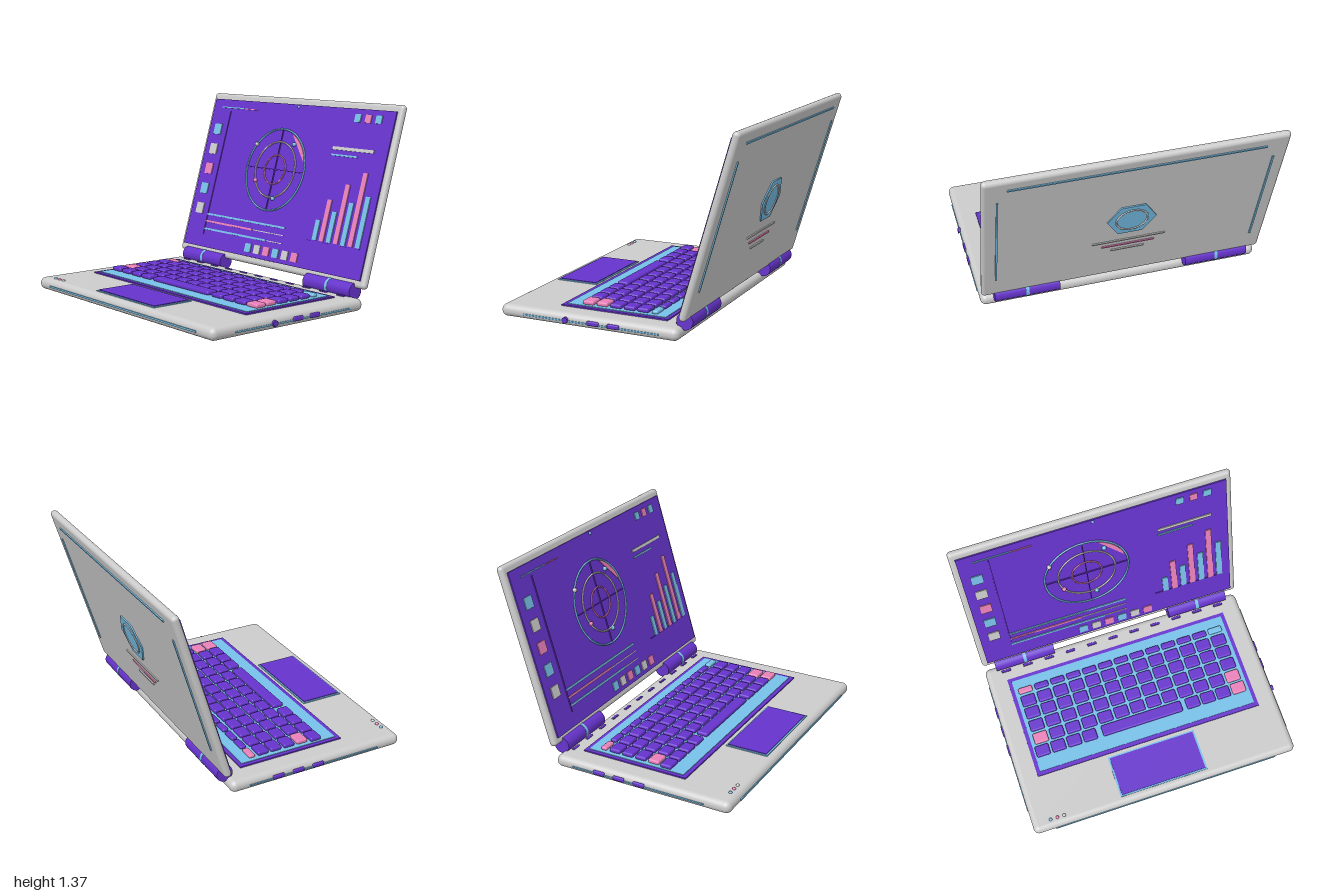
import * as THREE from 'three';
import { RoundedBoxGeometry } from 'three/addons/geometries/RoundedBoxGeometry.js';

const mat = (color) => new THREE.MeshStandardMaterial({ color });
const GREY = mat(0xcccccc);
const PURPLE = mat(0x6633cc);
const BLUE = mat(0x77c0e8);
const PINK = mat(0xe880b8);
const WHITE = mat(0xeeeeee);

function add(parent, name, geometry, material, x, y, z) {
  const mesh = new THREE.Mesh(geometry, material);
  mesh.name = name;
  mesh.position.set(x, y, z);
  parent.add(mesh);
  return mesh;
}
const box = (p, name, m, w, h, d, x, y, z) => add(p, name, new THREE.BoxGeometry(w, h, d), m, x, y, z);
const rounded = (p, name, m, w, h, d, r, x, y, z, seg = 2) =>
  add(p, name, new RoundedBoxGeometry(w, h, d, seg, r), m, x, y, z);
const ball = (p, name, m, r, x, y, z) => add(p, name, new THREE.SphereGeometry(r, 16, 10), m, x, y, z);
const group = (parent, name) => {
  const g = new THREE.Group();
  g.name = name;
  parent.add(g);
  return g;
};

function buildBase(base) {
  rounded(base, 'baseShell', GREY, 1.97, 0.084, 1.29, 0.04, 0, 0.07, 0.195, 5);
  box(base, 'bottomPlate', BLUE, 1.68, 0.016, 1.08, 0, 0.024, 0.19);
  box(base, 'frontStrip', BLUE, 1.66, 0.012, 0.012, 0, 0.066, 0.84);

  // Rubber feet and side trim
  for (const s of [-1, 1]) {
    for (const z of [-0.3, 0.69]) {
      add(base, 'foot', new THREE.CylinderGeometry(0.047, 0.042, 0.022, 20), PURPLE, s * 0.785, 0.011, z);
    }
    box(base, 'sideStrip', BLUE, 0.01, 0.01, 0.98, s * 0.985, 0.064, 0.17);
  }

  // Ports
  for (const z of [0, 0.145]) rounded(base, 'rightPort', PURPLE, 0.03, 0.03, 0.085, 0.008, 0.98, 0.07, z);
  for (const z of [-0.11, 0.04, 0.19]) rounded(base, 'leftPort', PURPLE, 0.03, 0.03, 0.085, 0.008, -0.98, 0.07, z);
  const jack = add(base, 'audioJack', new THREE.CylinderGeometry(0.02, 0.02, 0.04, 16), PURPLE, 0.98, 0.07, 0.345);
  jack.rotation.z = Math.PI / 2;

  // Vents in front of the hinge
  for (let i = 0; i < 11; i++) {
    rounded(base, 'vent', PURPLE, 0.07, 0.014, 0.02, 0.005, -0.83 + i * 0.166, 0.112, -0.39, 1);
  }

  // Trackpad and status lights
  box(base, 'trackpadFrame', BLUE, 0.655, 0.012, 0.305, 0, 0.112, 0.633);
  box(base, 'trackpad', PURPLE, 0.63, 0.012, 0.283, 0, 0.117, 0.633);
  [BLUE, PINK, WHITE].forEach((m, i) => ball(base, 'statusLight', m, 0.012, -0.85 + i * 0.05, 0.112, 0.78));
}

function buildKeyboard(keyboard) {
  box(keyboard, 'keyboardFrame', PURPLE, 1.69, 0.014, 0.77, 0, 0.114, 0.07);
  box(keyboard, 'keyboardDeck', BLUE, 1.636, 0.014, 0.715, 0, 0.118, 0.068);
  const key = (m, w, d, x, z, h = 0.03) =>
    rounded(keyboard, 'key', m, w, h, d, 0.012, x, 0.122 + h / 2, z);

  // Five regular rows
  [-0.195, -0.11, -0.013, 0.087, 0.187].forEach((z, row) => {
    for (let c = 0; c < 13; c++) {
      let m = PURPLE;
      if ((row === 0 && c === 0) || (row === 4 && c % 12 === 0)) m = PINK;
      if (row === 0 && c === 12) m = BLUE;
      key(m, 0.105, row ? 0.082 : 0.046, -0.74 + c * 0.123, z, row ? 0.03 : 0.025);
    }
  });

  // Bottom row with space bar
  for (let i = 0; i < 4; i++) {
    key(PURPLE, 0.103, 0.082, -0.755 + i * 0.119, 0.285);
    key(i === 3 ? PINK : PURPLE, 0.103, 0.082, 0.39 + i * 0.118, 0.285);
  }
  key(PURPLE, 0.61, 0.082, 0, 0.285).name = 'spaceBar';
}

function buildHinges(hinges) {
  for (const s of [-1, 1]) {
    const barrel = add(hinges, 'hingeBarrel', new THREE.CylinderGeometry(0.057, 0.057, 0.45, 28), PURPLE, s * 0.672, 0.143, -0.457);
    const band = add(hinges, 'hingeBand', new THREE.CylinderGeometry(0.059, 0.059, 0.022, 28), BLUE, s * 0.672, 0.143, -0.457);
    barrel.rotation.z = band.rotation.z = Math.PI / 2;
  }
}

// Screen contents; heights are given upright and mapped along the tilted lid
function buildScreen(screen) {
  const V = (y) => (y - 0.777) / 0.958;
  const F = 0.037;
  const tile = (name, m, w, h, x, y, d = 0.012) => box(screen, name, m, w, h, d, x, V(y), F);
  const bar = (name, m, x0, x1, h, y, d) => tile(name, m, x1 - x0, h, (x0 + x1) / 2, y, d);

  box(screen, 'display', PURPLE, 1.89, 1.155, 0.02, 0, V(0.775), 0.026);
  ball(screen, 'camera', BLUE, 0.011, 0, V(1.31), 0.036);

  // Icon columns and rows
  [BLUE, WHITE, PINK, BLUE, WHITE].forEach((m, i) => tile('sideIcon', m, 0.082, 0.082, -0.84, 1.1 - i * 0.15));
  [BLUE, PINK, BLUE].forEach((m, i) => tile('cornerIcon', m, 0.056, 0.056, 0.61 + i * 0.098, 1.265));
  [BLUE, WHITE, PINK, BLUE, WHITE, PINK].forEach((m, i) => tile('dockIcon', m, 0.064, 0.064, -0.2 + i * 0.099, 0.282));

  // Divider and text-like lines
  bar('headerLine', BLUE, -0.84, -0.58, 0.008, 1.268);
  bar('headerLine', PINK, -0.58, -0.43, 0.006, 1.266);
  tile('divider', PURPLE, 0.007, 0.97, -0.735, 0.78);
  bar('captionLine', WHITE, 0.435, 0.825, 0.022, 1.052);
  bar('captionLine', BLUE, 0.435, 0.685, 0.012, 1.006);
  [[BLUE, 0.14, 0.465], [PINK, -0.2, 0.412], [BLUE, -0.03, 0.356]].forEach(([m, end, y]) => {
    bar('progressTrack', WHITE, -0.735, 0.14, 0.006, y, 0.008);
    bar('progressFill', m, -0.735, end, 0.014, y);
  });

  // Bar chart
  bar('chartAxis', PURPLE, 0.37, 0.885, 0.007, 0.42);
  [0.56, 0.705, 0.63, 0.82, 0.705, 0.91, 0.76].forEach((top, i) => {
    tile('chartBar', i % 2 ? PINK : BLUE, 0.042, (top - 0.42) / 0.958, 0.45 + i * 0.069, (top + 0.42) / 2);
  });

  // Circular dial
  const dial = group(screen, 'dial');
  dial.position.set(-0.1, V(0.855), F);
  [[0.303, 0.0065, BLUE], [0.207, 0.006, WHITE], [0.108, 0.0055, PINK]].forEach(([r, t, m]) =>
    add(dial, 'dialRing', new THREE.TorusGeometry(r, t, 8, 64), m, 0, 0, 0.003));
  box(dial, 'dialCross', PURPLE, 0.6, 0.006, 0.01, 0, 0, 0.002);
  box(dial, 'dialCross', PURPLE, 0.006, 0.6, 0.01, 0, 0, 0.002);
  const wedge = new THREE.Shape();
  wedge.moveTo(0, 0);
  wedge.absarc(0, 0, 0.293, 0.24, 1.2, false);
  wedge.closePath();
  add(dial, 'dialWedge', new THREE.ExtrudeGeometry(wedge, { depth: 0.008, bevelEnabled: false, curveSegments: 20 }), PINK, 0, 0, -0.003);
  [[WHITE, -0.35, 1.02], [BLUE, 0.047, 1.045], [PINK, -0.28, 0.762], [BLUE, -0.053, 0.652]].forEach(([m, x, y]) =>
    ball(screen, 'dialMarker', m, 0.016, x, V(y), 0.043));
}

function buildLidBack(back) {
  const B = -0.027;
  box(back, 'topTrim', BLUE, 1.66, 0.012, 0.014, 0, 0.545, B);
  for (const s of [-1, 1]) box(back, 'sideTrim', BLUE, 0.012, 0.87, 0.014, s * 0.89, 0, B);

  // Six-sided plate with a ring
  const plate = add(back, 'hexPlate', new THREE.CylinderGeometry(0.165, 0.165, 0.016, 6), BLUE, 0, 0.005, B);
  plate.rotation.set(Math.PI / 2, Math.PI / 6, 0, 'XYZ');
  add(back, 'plateRing', new THREE.TorusGeometry(0.105, 0.006, 8, 48), WHITE, 0, 0.005, -0.036);
  [[0.5, WHITE], [0.36, PINK], [0.23, WHITE]].forEach(([w, m], i) =>
    box(back, 'accentLine', m, w, 0.012, 0.014, 0, -0.225 - i * 0.052, B));
}

export function createModel() {
  const model = new THREE.Group();
  model.name = 'laptop';
  buildBase(group(model, 'base'));
  buildKeyboard(group(model, 'keyboard'));
  buildHinges(group(model, 'hinges'));

  // Lid, tilted back
  const lid = group(model, 'lid');
  lid.position.set(0, 0.767, -0.647);
  lid.rotation.x = -0.29;
  rounded(lid, 'lidShell', GREY, 1.97, 1.255, 0.052, 0.0255, 0, 0, 0, 4);
  buildScreen(group(lid, 'screen'));
  buildLidBack(group(lid, 'lidBack'));
  return model;
}
